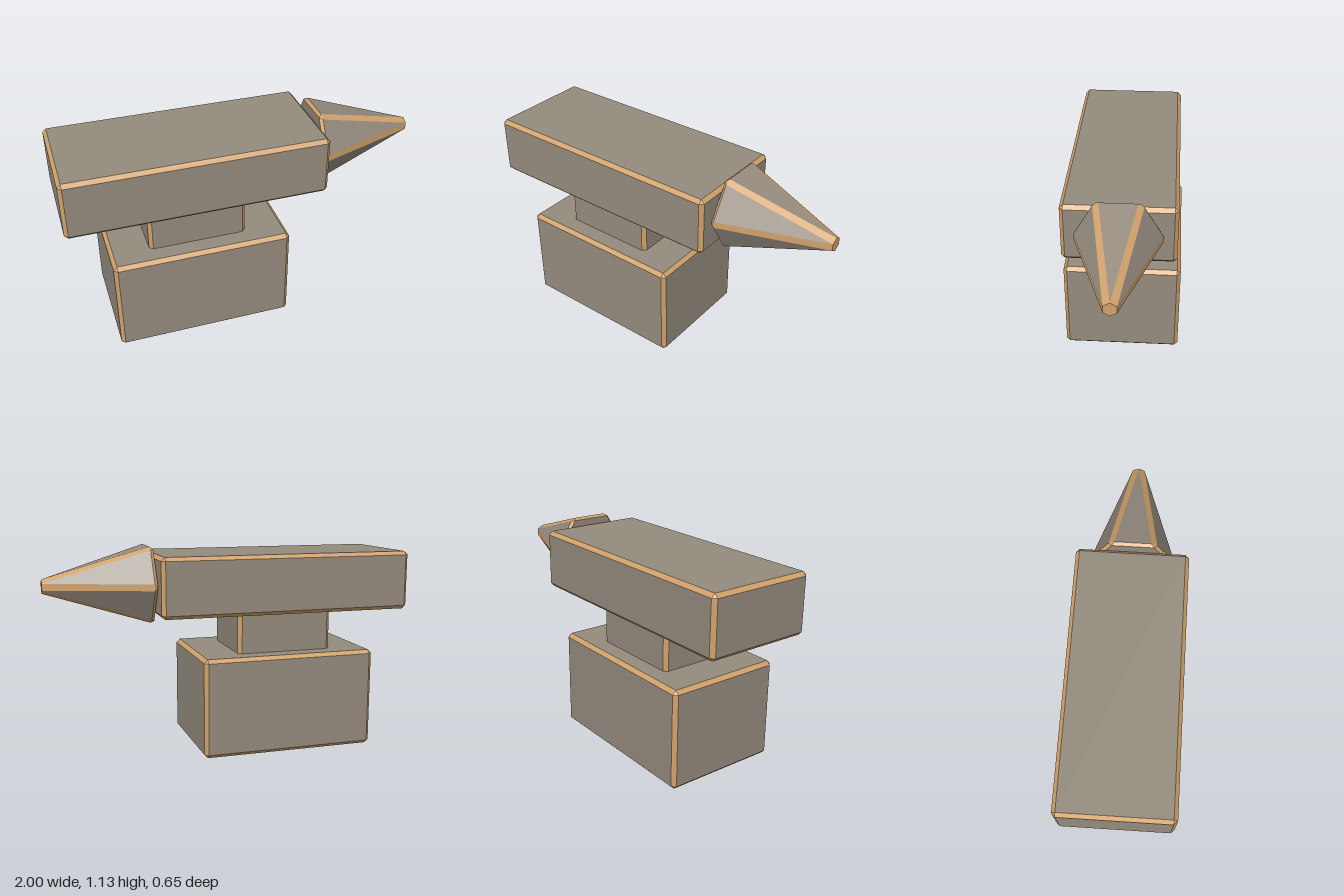
import * as THREE from 'three';

const iron = new THREE.MeshStandardMaterial({ color: 0x958b7e });
iron.name = 'warm grey iron';
const edge = new THREE.MeshStandardMaterial({ color: 0xd0a16a });
edge.name = 'worn tan edge';

// Convex solid from flat polygons: [points, isEdge]. Corners are ordered to face away from the centre.
function solid(name, polygons, centre) {
  const buckets = [[], []];
  for (const [points, isEdge] of polygons) {
    const [a, b, c] = points;
    const normal = b.clone().sub(a).cross(c.clone().sub(a));
    const ring = normal.dot(a.clone().sub(centre)) < 0 ? [...points].reverse() : points;
    for (let i = 1; i < ring.length - 1; i++) {
      for (const p of [ring[0], ring[i], ring[i + 1]]) buckets[isEdge ? 1 : 0].push(p.x, p.y, p.z);
    }
  }
  const geometry = new THREE.BufferGeometry();
  geometry.setAttribute('position', new THREE.Float32BufferAttribute(buckets.flat(), 3));
  geometry.addGroup(0, buckets[0].length / 3, 0);
  geometry.addGroup(buckets[0].length / 3, buckets[1].length / 3, 1);
  geometry.computeVertexNormals();
  const mesh = new THREE.Mesh(geometry, [iron, edge]);
  mesh.name = name;
  return mesh;
}

// Box with iron faces and tan chamfers
function chamferedBox(name, min, max, bevel = 0.02) {
  const lo = new THREE.Vector3(...min), hi = new THREE.Vector3(...max);
  const centre = lo.clone().add(hi).multiplyScalar(0.5);
  const half = hi.clone().sub(lo).multiplyScalar(0.5);
  // Corner point lying on the face of the given axis
  const corner = (signs, axis) => {
    const p = new THREE.Vector3();
    for (let i = 0; i < 3; i++) {
      const reach = half.getComponent(i) - (i === axis ? 0 : bevel);
      p.setComponent(i, centre.getComponent(i) + signs[i] * reach);
    }
    return p;
  };
  const signsFor = (axis, s, u, v) => {
    const signs = [0, 0, 0];
    signs[axis] = s;
    signs[(axis + 1) % 3] = u;
    signs[(axis + 2) % 3] = v;
    return signs;
  };
  const polygons = [];
  for (let axis = 0; axis < 3; axis++) {
    const next = (axis + 1) % 3;
    for (const s of [-1, 1]) {
      // Main face
      polygons.push([[[-1, -1], [1, -1], [1, 1], [-1, 1]]
        .map(([u, v]) => corner(signsFor(axis, s, u, v), axis)), false]);
      // Chamfers shared with the next axis
      for (const u of [-1, 1]) {
        const a = signsFor(axis, s, u, -1), b = signsFor(axis, s, u, 1);
        polygons.push([[corner(a, axis), corner(b, axis), corner(b, next), corner(a, next)], true]);
      }
    }
  }
  // Corner triangles
  for (const x of [-1, 1]) for (const y of [-1, 1]) for (const z of [-1, 1]) {
    polygons.push([[0, 1, 2].map((axis) => corner([x, y, z], axis)), true]);
  }
  return solid(name, polygons, centre);
}

// Six-sided horn with tan ridges, a flat tip and a bevelled base
function hexHorn() {
  const y = 0.93, baseX = 0.42, rimX = 0.437, tipX = 1;
  const apothem = 0.205, ridge = 0.02;
  const at = (x, radius, angle) =>
    new THREE.Vector3(x, y + radius * Math.sin(angle), radius * Math.cos(angle));
  const step = Math.PI / 3;
  const rimRadius = Math.hypot(apothem, apothem * Math.tan(Math.PI / 6) - ridge);
  const spread = Math.atan2(apothem * Math.tan(Math.PI / 6) - ridge, apothem);
  const polygons = [], tip = [], cap = [];
  for (let i = 0; i < 6; i++) {
    const mid = (i + 0.5) * step;
    const start = at(rimX, rimRadius, mid - spread);
    const end = at(rimX, rimRadius, mid + spread);
    const nextStart = at(rimX, rimRadius, mid + step - spread);
    const point = at(tipX, 0.038, mid);
    const nextPoint = at(tipX, 0.038, mid + step);
    const capA = at(baseX, 0.223, i * step);
    const capB = at(baseX, 0.223, (i + 1) * step);
    tip.push(point);
    cap.push(capA);
    polygons.push([[start, end, point], false]);
    polygons.push([[end, nextStart, nextPoint, point], true]);
    polygons.push([[start, end, capB, capA], true]);
    polygons.push([[end, nextStart, capB], true]);
  }
  polygons.push([tip, true], [cap, false]);
  return solid('horn', polygons, new THREE.Vector3(0.6, y, 0));
}

export function createModel() {
  const group = new THREE.Group();
  group.name = 'anvil';
  group.add(
    chamferedBox('base', [-0.78, 0, -0.327], [0.197, 0.547, 0.327]),
    chamferedBox('waist', [-0.565, 0.52, -0.217], [-0.025, 0.795, 0.217]),
    chamferedBox('face block', [-1, 0.767, -0.3], [0.416, 1.092, 0.3]),
    hexHorn(),
  );
  return group;
}
